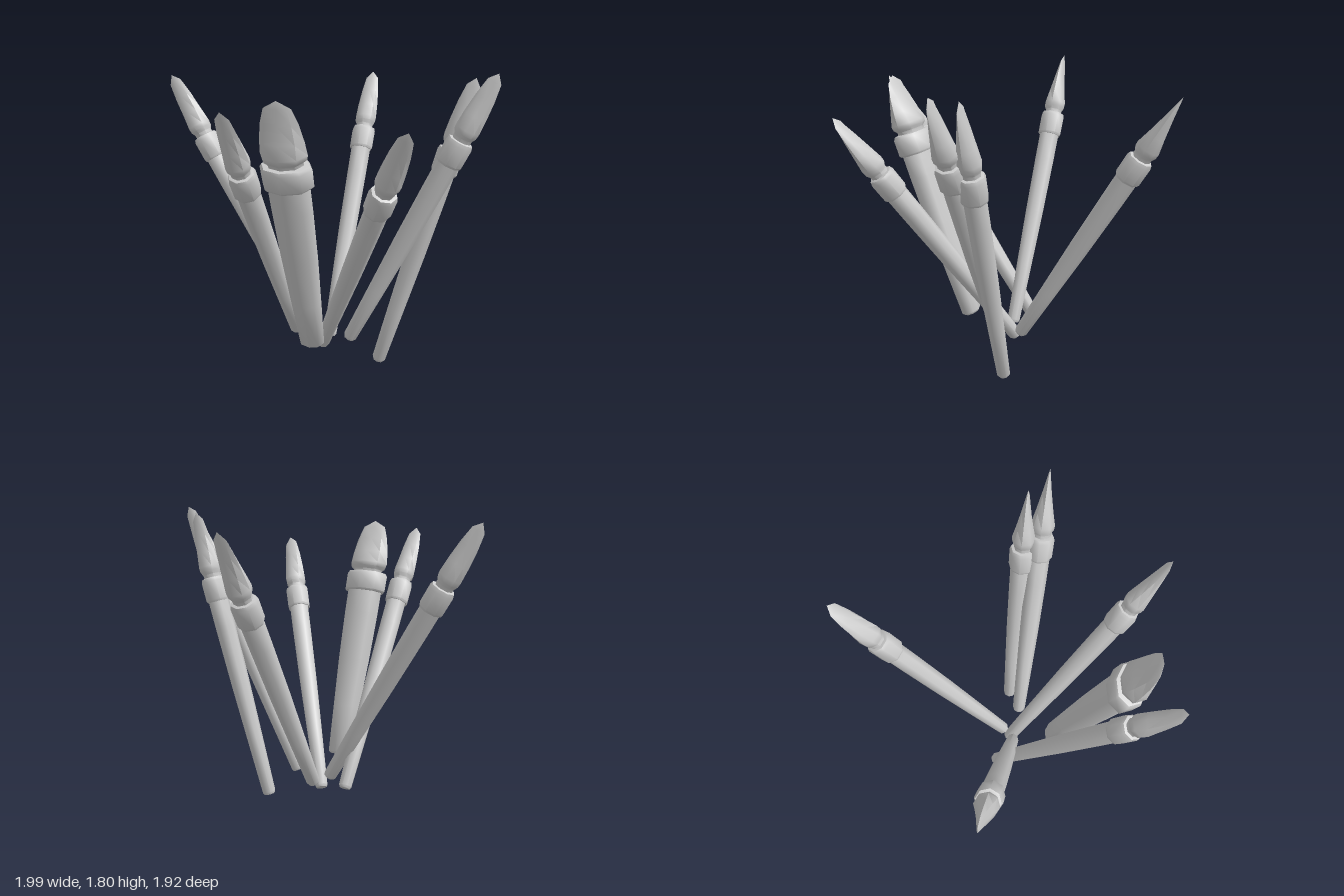
import * as THREE from 'three';
import { toCreasedNormals } from 'three/addons/utils/BufferGeometryUtils.js';

const SIDES = 8;
const LENGTH = 1.83;
const material = new THREE.MeshStandardMaterial({ color: 0xcccccc });

// Profiles as [radius, fraction of the brush length]
const HANDLE = [[0, 0], [0.033, 0], [0.041, 0.008], [0.05, 0.2], [0.059, 0.4], [0.064, 0.6], [0.065, 0.7], [0, 0.7]];
const FERRULE = [[0, 0.69], [0.071, 0.69], [0.077, 0.697], [0.078, 0.76], [0.071, 0.772], [0.056, 0.774], [0, 0.774]];
// Bristles: [half width, fraction, half thickness]
const BRISTLES = [[0, 0.77, 0], [0.054, 0.77, 0.054], [0.055, 0.785, 0.055], [0.067, 0.797, 0.067],
  [0.07, 0.813, 0.069], [0.066, 0.86, 0.049], [0.056, 0.92, 0.027], [0.04, 0.974, 0.009], [0, 1, 0]];

function turned(profile) {
  const points = profile.map(([r, t]) => new THREE.Vector2(r, t * LENGTH));
  return new THREE.LatheGeometry(points, SIDES);
}

// Turned shape whose thickness narrows to a chisel edge
function chisel(profile) {
  const geometry = turned(profile);
  const pos = geometry.attributes.position;
  for (let i = 0; i < pos.count; i++) {
    const [w, , d] = profile[i % profile.length];
    if (w > 0) pos.setZ(i, pos.getZ(i) * d / w);
  }
  return geometry;
}

function part(name, geometry) {
  const mesh = new THREE.Mesh(toCreasedNormals(geometry, 0.85), material);
  mesh.name = name;
  return mesh;
}

// A brush from its butt to its tip, with the flat of the bristles turned to x
function brush(name, from, to, wide = 1, thick = 1) {
  const group = new THREE.Group();
  group.name = name;
  group.add(
    part('handle', turned(HANDLE)),
    part('ferrule', turned(FERRULE)),
    part('bristles', chisel(BRISTLES)),
  );
  const start = new THREE.Vector3(...from);
  const axis = new THREE.Vector3(...to).sub(start);
  const length = axis.length();
  axis.normalize();
  const across = new THREE.Vector3(1, 0, 0).projectOnPlane(axis).normalize();
  const depth = new THREE.Vector3().crossVectors(across, axis);
  group.quaternion.setFromRotationMatrix(new THREE.Matrix4().makeBasis(across, axis, depth));
  group.position.copy(start);
  group.scale.set(wide, length / LENGTH, thick);
  return group;
}

export function createModel() {
  const model = new THREE.Group();
  model.name = 'paintbrushes';
  model.add(
    brush('wideBrush', [0.007, 0.228, 0.295], [0.007, 1.71, 0.795], 1.87, 1.35),
    brush('rightBrush', [-0.065, 0.168, 0.04], [-0.987, 1.738, 0.04]),
    brush('frontBrush', [-0.22, 0.148, -0.05], [-0.22, 1.665, 0.955]),
    brush('diagonalBrush', [-0.03, 0.1, 0.005], [0.67, 1.585, 0.785]),
    brush('backBrush', [0.005, 0.14, -0.035], [0.005, 1.705, -0.96]),
    brush('leftBrush', [0.155, 0.175, 0.04], [0.977, 1.805, 0.04]),
    brush('leftRearBrush', [0.317, 0.012, -0.055], [0.845, 1.77, -0.055]),
  );
  return model;
}
